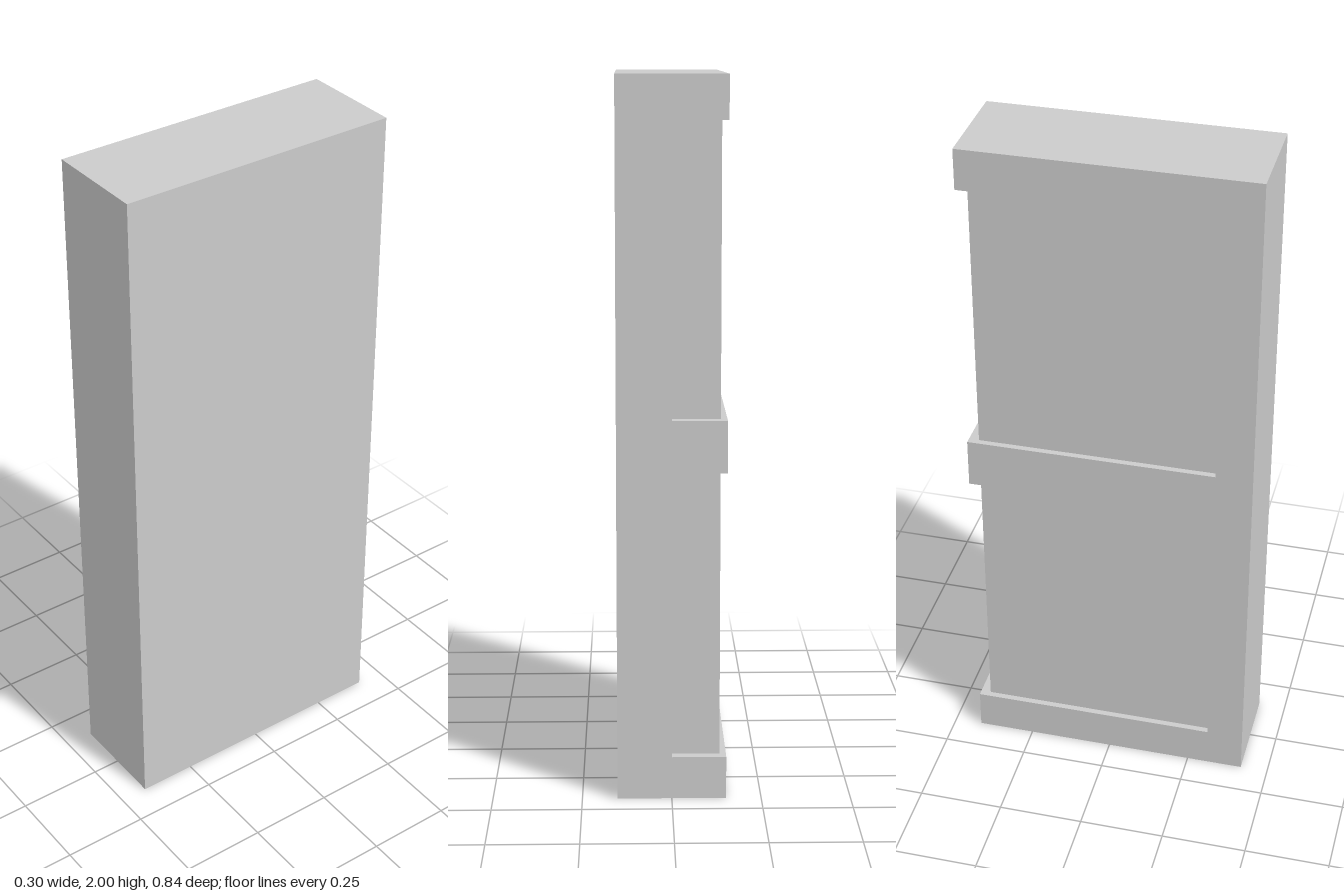
import * as THREE from 'three';

const W = 0.304, H = 2, D = 0.836;       // overall width, height, depth
const BACK = 0.03, SIDE = 0.018;         // recess depths on the back and the side
const RECESSES = [[0.12, 0.927], [1.073, 1.88]]; // bottom and top of each recess

// E-shaped frame: a solid stile of width `stile`, with rails reaching out to `reach`
function frameGeometry(stile, reach, thickness) {
  const s = new THREE.Shape();
  s.moveTo(0, 0);
  s.lineTo(reach, 0);
  for (const [low, high] of RECESSES) {
    s.lineTo(reach, low);
    s.lineTo(stile, low);
    s.lineTo(stile, high);
    s.lineTo(reach, high);
  }
  s.lineTo(reach, H);
  s.lineTo(0, H);
  return new THREE.ExtrudeGeometry(s, { depth: thickness, bevelEnabled: false });
}

export function createModel() {
  const group = new THREE.Group();
  group.name = 'panelledPillar';
  const material = new THREE.MeshStandardMaterial({ color: 0xcccccc, flatShading: true });

  function add(name, geometry, x, y, z, turn = 0) {
    const mesh = new THREE.Mesh(geometry, material);
    mesh.name = name;
    mesh.position.set(x, y, z);
    mesh.rotation.y = turn;
    group.add(mesh);
  }

  // Solid core, whose corner shows as the sunken panels
  add('core', new THREE.BoxGeometry(W - SIDE, H, D - BACK), SIDE / 2, H / 2, BACK / 2);

  // Raised frames that wrap round the back corner, leaving two recesses
  add('backFrame', frameGeometry(W / 2, W, BACK), W / 2, 0, -D / 2 + BACK, Math.PI);
  add('sideFrame', frameGeometry(0.108, D - BACK, SIDE), -W / 2, 0, D / 2, Math.PI / 2);

  return group;
}
